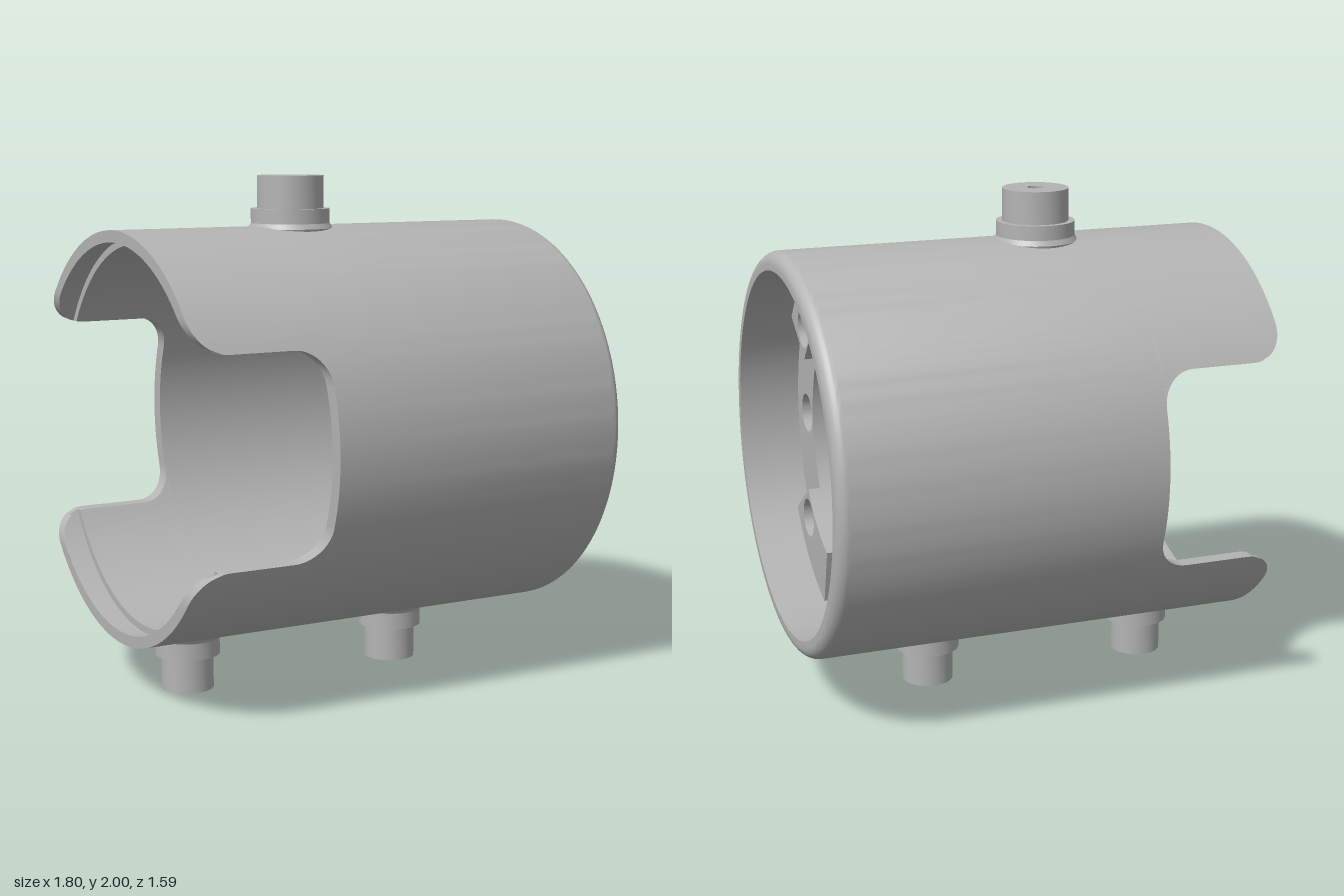
import * as THREE from 'three';
import { toCreasedNormals } from 'three/addons/utils/BufferGeometryUtils.js';

const CY = 1.01, R = 0.794, RI = 0.738, RECESS = 0.72;
const metal = new THREE.MeshStandardMaterial({ color: 0xb4b4b4 });
metal.name = 'satin grey';

function part(name, geometry, parent) {
  const mesh = new THREE.Mesh(toCreasedNormals(geometry, 0.5), metal);
  mesh.name = name;
  parent.add(mesh);
  return mesh;
}

const lathe = (pts, segments) =>
  new THREE.LatheGeometry(pts.map(([r, y]) => new THREE.Vector2(r, y)), segments);

// Full-round part of the housing, with rounded rim and front recess
function shellGeometry() {
  const pts = [[RI, -0.38], [R, -0.38], [R, 0.85]];
  for (let i = 1; i <= 8; i++) {
    const a = i / 8 * Math.PI / 2;
    pts.push([R - 0.05 + 0.05 * Math.cos(a), 0.85 + 0.05 * Math.sin(a)]);
  }
  pts.push([RECESS, 0.9], [RECESS, 0.56], [RI, 0.56], [RI, -0.38]);
  return lathe(pts, 128).rotateZ(-Math.PI / 2);
}

// Half-height of the side notch at x, with rounded corners
function notchHeight(x) {
  const r = 0.13, h = 0.39;
  if (x < -0.77) return h + r - Math.sqrt(Math.max(0, r * r - (x + 0.77) ** 2));
  if (x > -0.51) return h - r + Math.sqrt(Math.max(0, r * r - (x + 0.51) ** 2));
  return h;
}

// Curved tongue left between the two notches, lofted along x
function tongueGeometry() {
  const N = 56, sections = [];
  const add = (x, ri) => sections.push([x, ri]);
  for (let i = 0; i <= 8; i++) add(-0.9 + 0.06 * (i / 8) ** 2, 0.748);
  add(-0.84, 0.766); add(-0.80, 0.766);          // retaining groove
  for (const x of [-0.80, -0.785, -0.77, -0.51]) add(x, RI);
  for (let i = 1; i <= 10; i++) add(-0.51 + 0.13 * Math.sin(i / 10 * Math.PI / 2), RI);

  const pos = [], idx = [], L = 2 * (N + 1);
  for (const [x, ri] of sections) {
    const h = notchHeight(x);
    for (let j = 0; j < L; j++) {
      const outer = j <= N, r = outer ? R : ri;
      const f = outer ? j / N : (L - 1 - j) / N;
      const a = Math.asin(h / r), t = a + f * (Math.PI - 2 * a);
      pos.push(x, r * Math.sin(t), -r * Math.cos(t));
    }
  }
  for (let i = 0; i < sections.length - 1; i++) {
    for (let j = 0; j < L; j++) {
      const a = i * L + j, b = i * L + (j + 1) % L;
      idx.push(a, b, a + L, b, b + L, a + L);
    }
  }
  for (let k = 0; k < N; k++) {                  // end face
    const n = L - 1 - k;
    idx.push(k, n, k + 1, k + 1, n, n - 1);
  }
  const g = new THREE.BufferGeometry();
  g.setAttribute('position', new THREE.Float32BufferAttribute(pos, 3));
  g.setIndex(idx);
  return g;
}

// Flat shape extruded along x between two positions
function plate(shape, x0, x1) {
  return new THREE.ExtrudeGeometry(shape, { depth: x1 - x0, bevelEnabled: false, curveSegments: 64 })
    .rotateY(Math.PI / 2).translate(x0, 0, 0);
}

function circleHole(shape, x, y, r) {
  shape.holes.push(new THREE.Path().absarc(x, y, r, 0, Math.PI * 2, true));
}

const BOLTS = [[-0.405, 0.405], [-0.405, -0.405], [0.405, 0.405], [0.405, -0.405], [-0.575, 0], [0.575, 0]];
const PINS = [[0.63, 0.168], [0.63, -0.168]];

function flangeShape(boltRadius) {
  const s = new THREE.Shape().absarc(0, 0, 0.728, 0, Math.PI * 2, false);
  circleHole(s, 0, 0, 0.483);
  for (const [x, y] of BOLTS) circleHole(s, x, y, boltRadius);
  for (const [x, y] of PINS) circleHole(s, x, y, 0.04);
  return s;
}

// Raised pad on the flange around one bolt hole
function padShape(from, to, [bx, by]) {
  const a = THREE.MathUtils.degToRad(from), b = THREE.MathUtils.degToRad(to);
  const s = new THREE.Shape();
  s.absarc(0, 0, 0.725, a, b, false);
  s.absarc(0, 0, 0.483, b, a, true);
  s.closePath();
  circleHole(s, bx, by, 0.08);
  return s;
}

// Stepped hollow stud; y runs outward from the housing axis
function studGeometry(collar, pin, collarTop, top, bore) {
  return lathe([
    [bore, 0.745], [collar, 0.745], [collar + 0.012, 0.785], [collar, 0.805],
    [collar, collarTop], [pin, collarTop], [pin, top], [bore, top],
    [bore, 0.745],
  ], 48);
}

export function createModel() {
  const model = new THREE.Group();
  model.name = 'notched housing';
  const body = new THREE.Group();
  body.name = 'body';
  body.position.y = CY;
  model.add(body);

  part('shell', shellGeometry(), body);
  part('upperTongue', tongueGeometry(), body);
  part('lowerTongue', tongueGeometry().rotateX(Math.PI), body);

  // Mounting flange with counterbored holes
  part('flangeBack', plate(flangeShape(0.045), 0.55, 0.6), body);
  part('flangeFront', plate(flangeShape(0.08), 0.6, 0.65), body);
  part('upperPad', plate(padShape(105, 145, BOLTS[0]), 0.65, 0.7), body);
  part('lowerPad', plate(padShape(215, 255, BOLTS[1]), 0.65, 0.7), body);

  // Studs
  part('topStud', studGeometry(0.155, 0.13, 0.862, 0.99, 0.032), body).position.x = -0.147;
  for (const x of [-0.615, 0.32]) {
    const stud = part('bottomStud', studGeometry(0.128, 0.103, 0.872, 1.01, 0.028), body);
    stud.rotation.x = Math.PI;
    stud.position.x = x;
  }
  return model;
}
